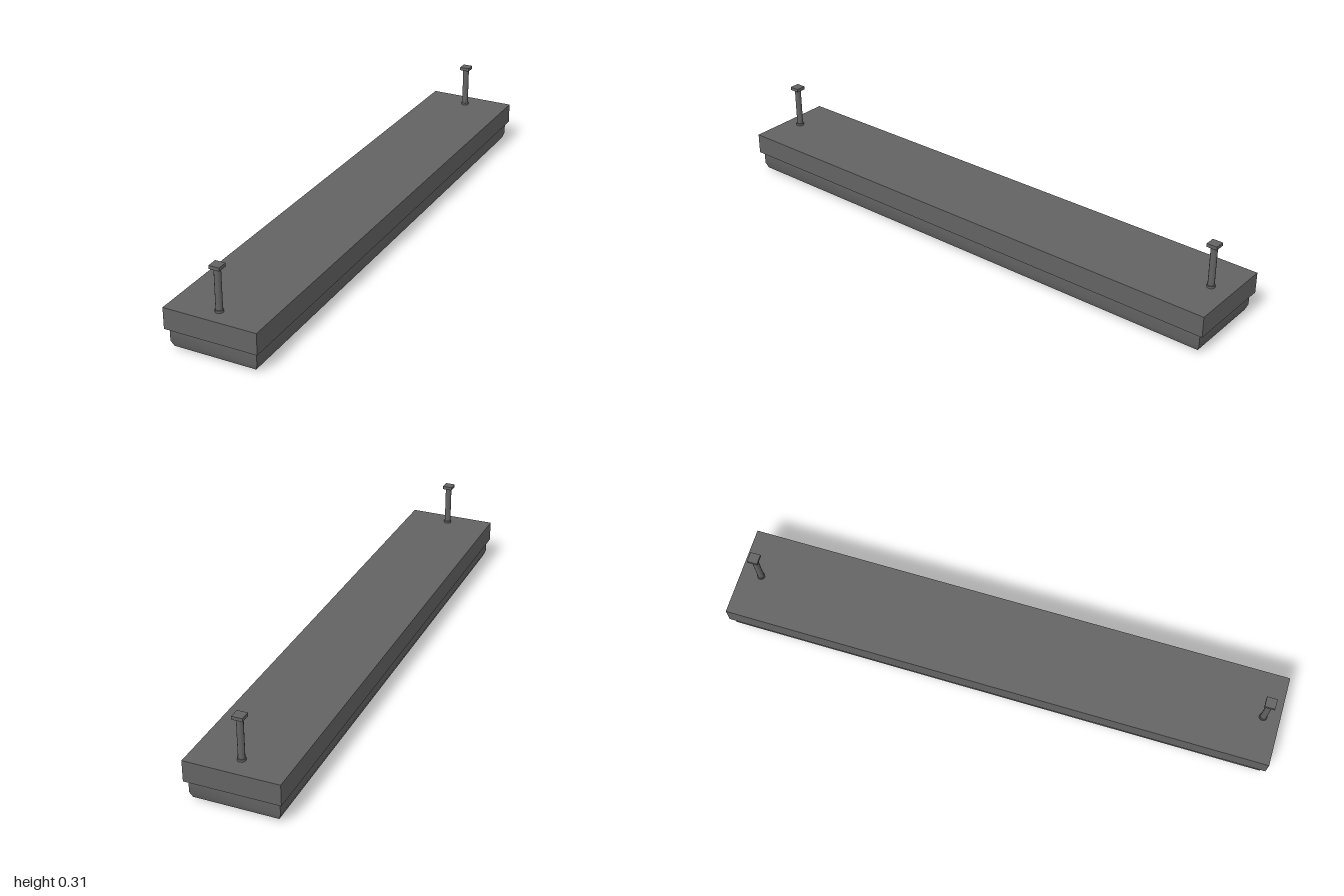
import * as THREE from 'three';
import { toCreasedNormals } from 'three/addons/utils/BufferGeometryUtils.js';

const darkMetal = new THREE.MeshStandardMaterial({ color: 0x636363 });
const paleLens = new THREE.MeshStandardMaterial({ color: 0xcccccc });

function addMesh(parent, name, geometry, y, material = darkMetal) {
  const mesh = new THREE.Mesh(geometry, material);
  mesh.name = name;
  mesh.position.y = y;
  parent.add(mesh);
}

// Rectangular rings [inset, y], listed from top to bottom, joined by mitred walls
function rectLoft(halfX, halfZ, rings) {
  const corners = [[1, 1], [1, -1], [-1, -1], [-1, 1]];
  const point = ([inset, y], i) => {
    const [sx, sz] = corners[i % 4];
    return [sx * (halfX - inset), y, sz * (halfZ - inset)];
  };
  const positions = [];
  for (let r = 0; r < rings.length - 1; r++) {
    for (let i = 0; i < 4; i++) {
      const a = point(rings[r], i), b = point(rings[r], i + 1);
      const c = point(rings[r + 1], i + 1), d = point(rings[r + 1], i);
      positions.push(...a, ...d, ...c, ...a, ...c, ...b);
    }
  }
  const geometry = new THREE.BufferGeometry();
  geometry.setAttribute('position', new THREE.Float32BufferAttribute(positions, 3));
  return toCreasedNormals(geometry, 0.6);
}

export function createModel() {
  const model = new THREE.Group();
  model.name = 'ceilingLight';

  // Long box housing
  addMesh(model, 'housing', new THREE.BoxGeometry(0.332, 0.076, 2), 0.114);

  // Dark tray with bevelled lower edges around a pale flat lens
  const rings = [[0, 0.077], [0, 0.03], [0.008, 0.009], [0.029, 0]];
  addMesh(model, 'trayWalls', rectLoft(0.155, 0.986, rings), 0);
  const lens = new THREE.PlaneGeometry(0.252, 1.914).rotateX(Math.PI / 2);
  addMesh(model, 'lens', lens, 0, paleLens);

  // Hanging rods with a collar at the foot and a square plate on top
  for (const [name, z] of [['frontHanger', 0.94], ['backHanger', -0.925]]) {
    const hanger = new THREE.Group();
    hanger.name = name;
    hanger.position.set(0, 0.152, z);
    model.add(hanger);
    addMesh(hanger, 'collar', new THREE.CylinderGeometry(0.0145, 0.0145, 0.008, 12), 0.004);
    addMesh(hanger, 'rod', new THREE.CylinderGeometry(0.0115, 0.0115, 0.152, 12), 0.076);
    addMesh(hanger, 'plate', new THREE.BoxGeometry(0.037, 0.012, 0.037), 0.156);
  }
  return model;
}
